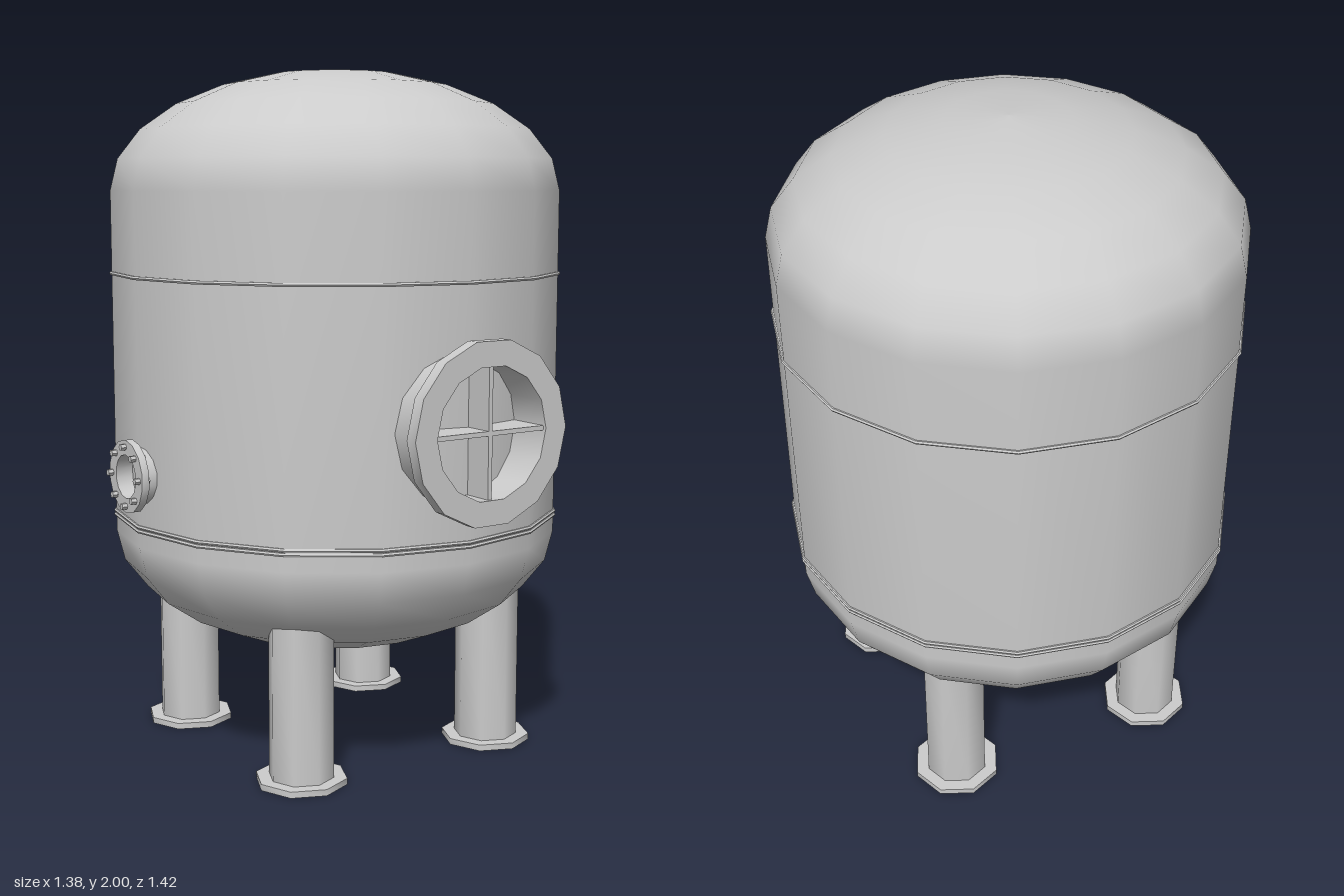
import * as THREE from 'three';
import { toCreasedNormals } from 'three/addons/utils/BufferGeometryUtils.js';

const CX = 0.025, CZ = -0.045; // tank axis
const R = 0.66;                // tank radius
const HEAD = 0.35;             // height of each domed end

const grey = new THREE.MeshStandardMaterial({ color: 0xcccccc });

function mesh(name, geometry, x = 0, y = 0, z = 0) {
  const m = new THREE.Mesh(geometry, grey);
  m.name = name;
  m.position.set(x, y, z);
  return m;
}

// Turned part with sharp profile edges and smooth sides
function turned(profile, sides, phiStart = 0) {
  const pts = profile.map(([r, y]) => new THREE.Vector2(r, y));
  return toCreasedNormals(new THREE.LatheGeometry(pts, sides, phiStart), 1.0);
}

// Tank shell: elliptical heads on a straight cylinder
function tankShell() {
  const pts = [];
  for (let i = 0; i <= 6; i++) {
    const a = (i / 6) * Math.PI / 2;
    pts.push(new THREE.Vector2(R * Math.sin(a), 0.65 - HEAD * Math.cos(a)));
  }
  for (let i = 6; i >= 0; i--) {
    const a = (i / 6) * Math.PI / 2;
    pts.push(new THREE.Vector2(R * Math.sin(a), 1.65 + HEAD * Math.cos(a)));
  }
  return mesh('tankShell', new THREE.LatheGeometry(pts, 16), CX, 0, CZ);
}

// Thin weld bead around the shell
function seam(y) {
  const g = turned([[R - 0.01, -0.005], [R + 0.004, -0.005], [R + 0.007, 0],
    [R + 0.004, 0.005], [R - 0.01, 0.005]], 16);
  return mesh('seamRing', g, CX, y, CZ);
}

// Hollow leg with a flanged foot
function leg(sx, sz) {
  const g = new THREE.Group();
  g.name = 'leg';
  g.position.set(CX + sx * 0.33, 0, CZ + sz * 0.33);
  g.add(mesh('legTube', turned([[0.075, 0.55], [0.075, 0.005], [0.094, 0.005], [0.094, 0.55]], 8)));
  g.add(mesh('footFlange', turned([[0.08, 0], [0.132, 0], [0.132, 0.018], [0.08, 0.018], [0.08, 0]], 8)));
  return g;
}

// Front manway: neck, flange and crossed plates inside the opening
function manway() {
  const g = new THREE.Group();
  g.name = 'manway';
  g.position.set(CX, 1.02, 0);
  const ring = mesh('manwayFlangeAndNeck', turned([
    [0.182, 0.52], [0.218, 0.52], [0.218, 0.672], [0.252, 0.672],
    [0.252, 0.71], [0.182, 0.71], [0.182, 0.52]], 14, Math.PI / 2));
  ring.rotation.x = Math.PI / 2;
  g.add(ring);
  g.add(mesh('verticalPlate', new THREE.BoxGeometry(0.013, 0.36, 0.13), 0, 0, 0.635));
  g.add(mesh('horizontalPlate', new THREE.BoxGeometry(0.365, 0.013, 0.13), 0, 0, 0.635));
  return g;
}

// Small bolted nozzle on the right side
function nozzle() {
  const g = new THREE.Group();
  g.name = 'sideNozzle';
  g.position.set(0, 0.86, CZ);
  g.rotation.z = Math.PI / 2; // local y points to -x
  g.add(mesh('nozzleFlangeAndNeck', turned([
    [0.062, 0.58], [0.084, 0.58], [0.084, 0.652], [0.104, 0.652],
    [0.104, 0.674], [0.062, 0.674], [0.062, 0.58]], 14, Math.PI / 2)));
  for (let i = 0; i < 8; i++) {
    const a = (i / 8) * Math.PI * 2;
    g.add(mesh('bolt', toCreasedNormals(new THREE.CylinderGeometry(0.0095, 0.0095, 0.045, 6), 0.5),
      0.084 * Math.cos(a), 0.667, 0.084 * Math.sin(a)));
  }
  return g;
}

export function createModel() {
  const model = new THREE.Group();
  model.name = 'pressureTank';
  model.add(tankShell(), manway(), nozzle());
  for (const y of [0.699, 0.711, 1.412]) model.add(seam(y));
  for (const sx of [-1, 1]) for (const sz of [-1, 1]) model.add(leg(sx, sz));
  return model;
}
